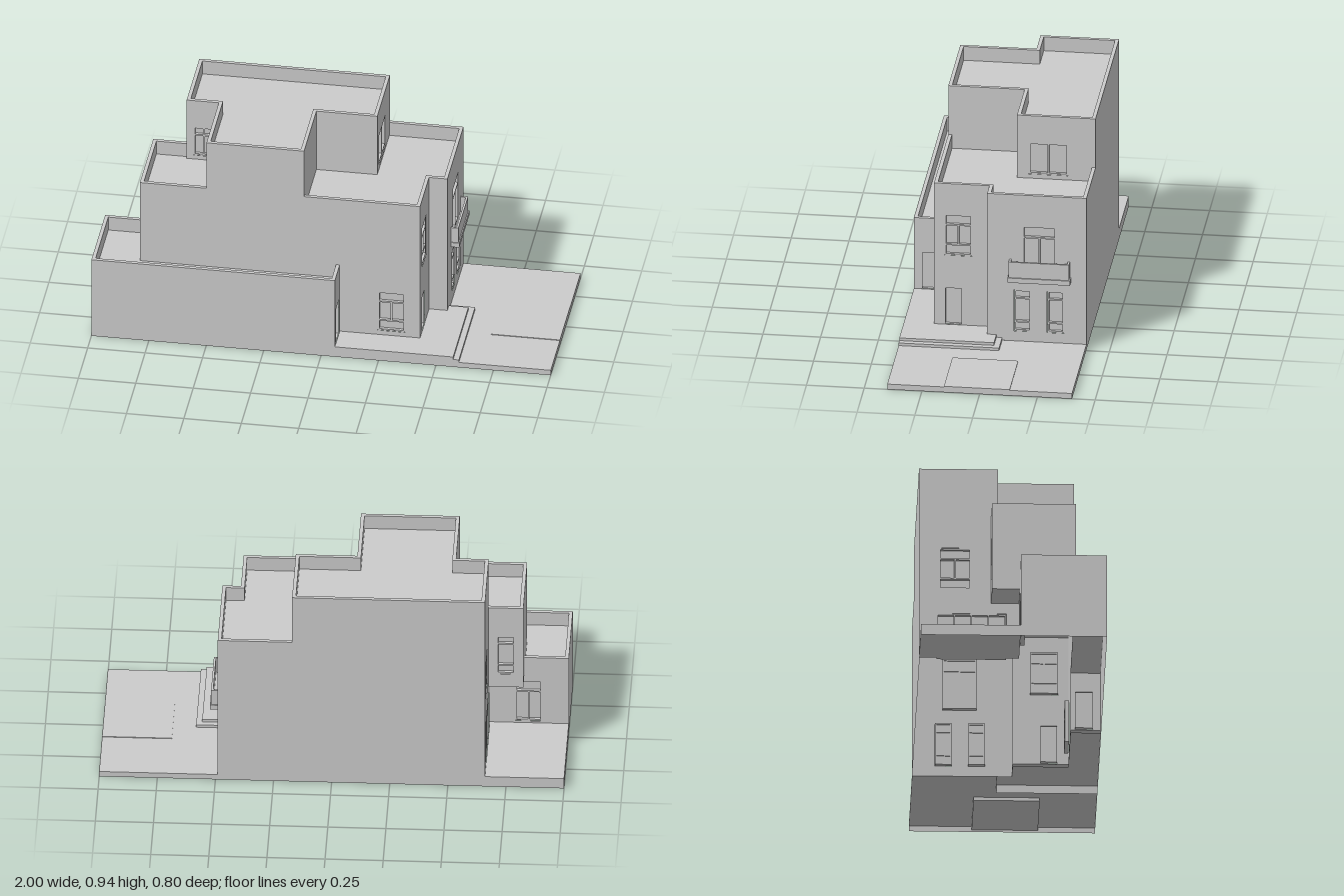
import * as THREE from 'three';

const mat = new THREE.MeshStandardMaterial({ color: 0xcccccc, side: THREE.DoubleSide, flatShading: true });

export function createModel() {
  const model = new THREE.Group();
  model.name = 'house';

  const add = (name, geometry, parent = model) => {
    const mesh = new THREE.Mesh(geometry, mat);
    mesh.name = name;
    parent.add(mesh);
    return mesh;
  };
  const rect = (x0, y0, x1, y1) =>
    [[x0, y0], [x1, y0], [x1, y1], [x0, y1]].map(p => new THREE.Vector2(...p));
  const box = (name, x0, x1, y0, y1, z0, z1) =>
    add(name, new THREE.BoxGeometry(x1 - x0, y1 - y0, z1 - z0))
      .position.set((x0 + x1) / 2, (y0 + y1) / 2, (z0 + z1) / 2);

  // Horizontal sheet from a plan outline of [x, z] points
  const sheet = (name, pts, y, hole) => {
    const plan = list => list.map(([x, z]) => new THREE.Vector2(x, -z));
    const shape = new THREE.Shape(plan(pts));
    if (hole) shape.holes.push(new THREE.Path(plan(hole)));
    add(name, new THREE.ShapeGeometry(shape).rotateX(-Math.PI / 2)).position.y = y;
  };

  // Recessed frame and pane; rows run bottom to top as [height share, columns]
  const fillOpening = (parent, name, u0, u1, y0, y1, rows, border) => {
    const frame = new THREE.Shape(rect(u0, y0, u1, y1));
    const h = y1 - y0 - border * (rows.length + 1);
    let y = y0 + border;
    for (const [share, cols] of rows) {
      const w = (u1 - u0 - border * (cols + 1)) / cols;
      for (let c = 0; c < cols; c++) {
        const u = u0 + border + c * (w + border);
        frame.holes.push(new THREE.Path(rect(u, y, u + w, y + h * share)));
      }
      y += h * share + border;
    }
    add(name + 'Frame', new THREE.ExtrudeGeometry(frame, { depth: 0.018, bevelEnabled: false }), parent).position.z = -0.02;
    add(name + 'Pane', new THREE.ShapeGeometry(new THREE.Shape(rect(u0, y0, u1, y1))), parent).position.z = -0.015;
  };

  // Vertical wall between plan points a and b (house inside on the right-hand turn).
  // Openings are [name, start, end, y0, y1, rows, border], start and end in world x or z.
  const wall = (name, a, b, y0, y1, openings = []) => {
    const dx = a[0] - b[0], dz = a[1] - b[1], length = Math.hypot(dx, dz);
    const axis = Math.abs(dx) > Math.abs(dz) ? 0 : 1;
    const group = new THREE.Group();
    group.name = name;
    group.position.set(b[0], 0, b[1]);
    group.rotation.y = Math.atan2(-dz, dx);
    model.add(group);
    const shape = new THREE.Shape(rect(0, y0, length, y1));
    for (const [label, s, e, v0, v1, rows, border = 0.007] of openings) {
      const [u0, u1] = [Math.abs(s - b[axis]), Math.abs(e - b[axis])].sort((p, q) => p - q);
      shape.holes.push(new THREE.Path(rect(u0, v0, u1, v1)));
      fillOpening(group, label, u0, u1, v0, v1, rows, border);
    }
    add(name + 'Surface', new THREE.ShapeGeometry(shape), group);
  };

  // Flat roof: the first n points carry a parapet, the rest meet higher walls
  const T = 0.016;
  const roof = (name, pts, n, yTop, yFloor) => {
    const closed = n === pts.length, path = pts.slice(0, n);
    const normal = i => {
      if (!closed && (i < 0 || i >= n - 1)) return [0, 0];
      const p = path[(i + n) % n], q = path[(i + 1) % n];
      return [-Math.sign(q[1] - p[1]), Math.sign(q[0] - p[0])];
    };
    const inner = path.map((p, i) => p.map((v, k) => v + T * (normal(i - 1)[k] + normal(i)[k])));
    sheet(name + 'Floor', pts, yFloor);
    if (closed) sheet(name + 'Coping', path, yTop, inner);
    else sheet(name + 'Coping', [...path, ...[...inner].reverse()], yTop);
    for (let i = 0; i < (closed ? n : n - 1); i++)
      wall(name + 'ParapetInside', inner[(i + 1) % n], inner[i], yFloor, yTop);
  };

  // Raised ground with an open underside; the first n edges get risers
  const plinth = (name, pts, n, y0, y1) => {
    sheet(name + 'Top', pts, y1);
    for (let i = 0; i < n; i++) wall(name + 'Edge', pts[i], pts[i + 1], y0, y1);
  };

  const Y1 = 0.385, Y2 = 0.715, Y3 = 0.945, F1 = 0.32, F2 = 0.65, F3 = 0.88, G = 0.05, O = 0.31;
  const threeTier = [[0.24, 1], [0.52, 2], [0.24, 1]];
  const slim = [[0.2, 1], [0.62, 1], [0.18, 1]];
  const plain = [[1, 1]], pair = [[1, 2]];

  // Grounds
  plinth('yard', [[0.49, -0.4], [1, -0.4], [1, 0.4], [0.6, 0.4], [0.6, -0.035], [0.49, -0.035]], 3, 0, 0.025);
  box('drivewayPanel', 0.7, 1, 0.01, 0.028, -0.13, 0.155);
  const houseEdge = [[0.06, 0.4], [0.06, 0.27], [0.41, 0.27], [0.41, 0.03], [0.49, 0.03]];
  plinth('lowerStep', [[0.49, -0.035], [0.6, -0.035], [0.6, 0.4], ...houseEdge], 3, 0, 0.0375);
  plinth('entranceTerrace', [[0.49, -0.01], [0.575, -0.01], [0.575, 0.4], ...houseEdge], 3, 0.0375, G);
  plinth('patio', [[-1, 0.03], [-1, -0.4], [-0.66, -0.4], [-0.66, 0.03]], 2, 0, G);

  // Lower two storeys
  wall('backWall', [-0.66, -0.4], [0.49, -0.4], 0, Y2);
  wall('yardWall', [0.49, -0.4], [0.49, 0.03], 0.025, Y2, [
    ['slimWindow', -0.16, -0.087, 0.072, 0.267, slim],
    ['slimWindow', -0.302, -0.23, 0.072, 0.267, slim],
    ['balconyDoor', -0.269, -0.123, 0.337, 0.57, [[0.79, 2], [0.21, 1]]]]);
  wall('cornerReturn', [0.49, 0.03], [0.41, 0.03], G, Y2);
  wall('entranceWall', [0.41, 0.03], [0.41, 0.27], G, Y2, [
    ['upperWindow', 0.105, 0.225, 0.377, 0.57, threeTier],
    ['entranceDoor', 0.15, 0.222, 0.052, 0.222, plain, 0.001]]);
  wall('terraceWall', [0.41, 0.27], [0.06, 0.27], G, Y2, [
    ['terraceWindow', 0.225, 0.345, 0.072, 0.267, threeTier]]);
  wall('frontWall', [0.06, 0.27], [-0.81, 0.27], F1, Y2);
  wall('bayEnd', [-0.81, 0.27], [-0.81, -0.09], O, Y2);
  wall('bayBack', [-0.81, -0.09], [-0.66, -0.09], O, Y2, [
    ['bayWindow', -0.775, -0.695, 0.377, 0.57, slim]]);
  sheet('baySoffit', [[-0.81, -0.09], [-0.66, -0.09], [-0.66, 0.03], [-0.81, 0.03]], O);
  wall('patioWall', [-0.66, 0.03], [-0.66, -0.4], G, O, [
    ['slidingDoor', -0.325, -0.025, 0.052, 0.26, [[0.76, 4], [0.24, 4]]]]);
  wall('patioUpperWall', [-0.66, -0.09], [-0.66, -0.4], O, Y2, [
    ['upperWindow', -0.315, -0.175, 0.377, 0.57, threeTier]]);

  // Single-storey wing
  wall('wingEntranceEnd', [0.06, 0.27], [0.06, 0.4], G, Y1, [
    ['sideDoor', 0.29, 0.365, 0.052, 0.222, plain, 0.001]]);
  wall('wingFront', [0.06, 0.4], [-1, 0.4], 0, Y1);
  wall('wingEnd', [-1, 0.4], [-1, 0.03], 0, Y1);
  wall('wingPatioWall', [-1, 0.03], [-0.66, 0.03], G, O, [
    ['patioWindow', -0.885, -0.77, 0.06, 0.267, [[0.75, 2], [0.25, 1]]]]);
  wall('wingPatioWallTop', [-1, 0.03], [-0.81, 0.03], O, Y1);
  roof('wingRoof', [[0.06, 0.27], [0.06, 0.4], [-1, 0.4], [-1, 0.03], [-0.81, 0.03], [-0.81, 0.27]], 5, Y1, F1);

  // Terraces beside the top storey
  roof('yardTerrace', [[0.17, -0.4], [0.49, -0.4], [0.49, 0.03], [0.41, 0.03], [0.41, 0.27],
    [-0.095, 0.27], [-0.095, -0.06], [0.17, -0.06]], 6, Y2, F2);
  roof('patioTerrace', [[-0.52, 0.27], [-0.81, 0.27], [-0.81, -0.09], [-0.66, -0.09],
    [-0.66, -0.06], [-0.52, -0.06]], 4, Y2, F2);

  // Top storey
  const top = [[-0.66, -0.4], [0.17, -0.4], [0.17, -0.06], [-0.095, -0.06],
    [-0.095, 0.27], [-0.52, 0.27], [-0.52, -0.06], [-0.66, -0.06]];
  const topOpenings = {
    1: [['topWindow', -0.28, -0.11, 0.67, 0.818, pair]],
    6: [['topTerraceWindow', -0.63, -0.54, 0.67, 0.812, [[0.75, 2], [0.25, 2]]]],
  };
  top.forEach((p, i) =>
    wall('topWall', p, top[(i + 1) % 8], [0, 4, 7].includes(i) ? Y2 : F2, Y3, topOpenings[i]));
  roof('topRoof', top, 8, Y3, F3);

  // Balcony
  box('balconyBase', 0.49, 0.527, 0.315, 0.337, -0.333, -0.062);
  box('balconyFront', 0.513, 0.522, 0.337, 0.41, -0.328, -0.066);
  for (const z of [-0.328, -0.075]) box('balconySide', 0.49, 0.513, 0.337, 0.41, z, z + 0.009);

  return model;
}
